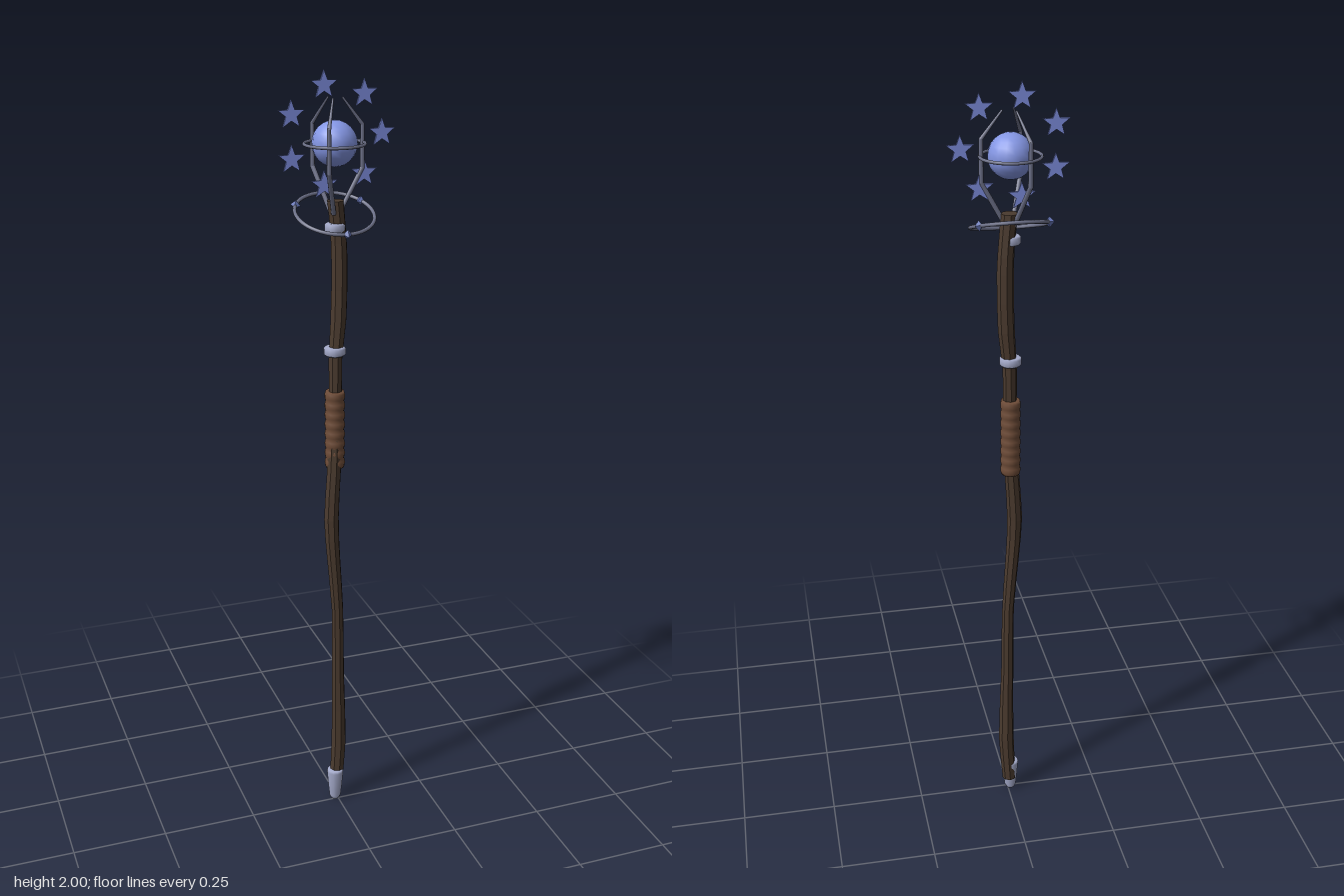
import * as THREE from 'three';

const mat = (color, flat = false) => {
  const m = new THREE.MeshStandardMaterial({ color });
  m.flatShading = flat;
  return m;
};
const WOOD = mat(0x4a3a2e, true), LEATHER = mat(0x6e4c38);
const SILVER = mat(0xa4aaca), IRON = mat(0x6c7088);
const CRYSTAL = mat(0x8496e4), GEM = mat(0x6676b8, true), STAR = mat(0x7c8cdc, true);

// Axis of the straight fittings
const AX = -0.007, AZ = -0.006;

function add(parent, name, geometry, material, x = 0, y = 0, z = 0) {
  const mesh = new THREE.Mesh(geometry, material);
  mesh.name = name;
  mesh.position.set(x, y, z);
  parent.add(mesh);
  return mesh;
}

// Crooked wooden shaft: a cylinder bent along [y, x, z, radius] stations
function shaftGeometry() {
  const stations = [
    [0.04, -0.003, -0.012, 0.019], [0.18, 0.005, -0.010, 0.021], [0.40, 0.001, -0.004, 0.017],
    [0.60, -0.002, 0.000, 0.016], [0.75, -0.014, 0.005, 0.018], [0.87, -0.021, 0.007, 0.020],
    [1.00, -0.013, 0.004, 0.019], [1.15, -0.006, -0.003, 0.017], [1.30, -0.005, -0.006, 0.018],
    [1.40, 0.004, -0.009, 0.021], [1.55, 0.007, -0.011, 0.021], [1.63, 0.003, -0.011, 0.020],
    [1.695, -0.004, -0.009, 0.021],
  ];
  const n = stations.length - 1;
  const path = new THREE.CatmullRomCurve3(stations.map(([y, x, z]) => new THREE.Vector3(x, y, z)));
  const geo = new THREE.CylinderGeometry(1, 1, 1, 8, n * 2);
  const pos = geo.attributes.position;
  for (let i = 0; i < pos.count; i++) {
    const t = THREE.MathUtils.clamp(pos.getY(i) + 0.5, 0, 1);
    const k = Math.min(n - 1, Math.floor(t * n));
    const r = THREE.MathUtils.lerp(stations[k][3], stations[k + 1][3], t * n - k);
    const c = path.getPoint(t);
    pos.setXYZ(i, c.x + pos.getX(i) * r, c.y, c.z + pos.getZ(i) * r);
  }
  geo.computeVertexNormals();
  return geo;
}

// Tapered rod between two points
function rod(parent, name, a, b, ra, rb) {
  const dir = b.clone().sub(a);
  const mesh = add(parent, name, new THREE.CylinderGeometry(rb, ra, dir.length(), 8), IRON);
  mesh.position.copy(a).add(b).multiplyScalar(0.5);
  mesh.quaternion.setFromUnitVectors(new THREE.Vector3(0, 1, 0), dir.normalize());
}

function starGeometry(radius, depth) {
  const shape = new THREE.Shape();
  for (let i = 0; i < 10; i++) {
    const r = i % 2 ? radius * 0.42 : radius;
    const a = Math.PI / 2 + (i * Math.PI) / 5;
    shape[i ? 'lineTo' : 'moveTo'](r * Math.cos(a), r * Math.sin(a));
  }
  shape.closePath();
  return new THREE.ExtrudeGeometry(shape, { depth, bevelEnabled: false }).translate(0, 0, -depth / 2);
}

function band(parent, name, y, radius, height) {
  const b = 0.004, h = height / 2;
  const profile = [[0, -h], [radius - b, -h], [radius, -h + b], [radius, h - b], [radius - b, h], [0, h]];
  const geo = new THREE.LatheGeometry(profile.map(p => new THREE.Vector2(...p)), 16);
  add(parent, name, geo, SILVER, AX, y, AZ);
}

export function createModel() {
  const staff = new THREE.Group();
  staff.name = 'staff';

  add(staff, 'shaft', shaftGeometry(), WOOD);

  // Metal foot
  const foot = [[0, 0], [0.012, 0.002], [0.016, 0.012], [0.020, 0.05], [0.023, 0.088], [0.021, 0.095], [0, 0.095]];
  add(staff, 'ferrule', new THREE.LatheGeometry(foot.map(p => new THREE.Vector2(...p)), 12), SILVER, AX, 0, AZ);

  // Leather grip with wrapped ridges
  const wraps = 8, low = 1.01, high = 1.215;
  const grip = [new THREE.Vector2(0, low)];
  for (let i = 0; i <= wraps * 4; i++) {
    const bulge = Math.abs(Math.sin((i * Math.PI) / 4));
    grip.push(new THREE.Vector2(0.0235 + 0.0025 * bulge, low + ((high - low) * i) / (wraps * 4)));
  }
  grip.push(new THREE.Vector2(0, high));
  add(staff, 'grip', new THREE.LatheGeometry(grip, 16), LEATHER, AX, 0, AZ);

  band(staff, 'lowerCollar', 1.32, 0.028, 0.022);
  band(staff, 'upperCollar', 1.63, 0.025, 0.022);

  // Orb and its level ring
  add(staff, 'orb', new THREE.SphereGeometry(0.055, 16, 12), CRYSTAL, AX, 1.83, AZ);
  const halo = add(staff, 'orbRing', new THREE.TorusGeometry(0.073, 0.004, 8, 40), IRON, AX, 1.83, AZ);
  halo.rotation.x = Math.PI / 2;

  // Three bent claws holding the orb
  const claw = [[0.012, 1.665, 0.006], [0.07, 1.77, 0.006], [0.07, 1.872, 0.005], [0.021, 1.935, 0.0025]];
  for (let k = 0; k < 3; k++) {
    const prong = new THREE.Group();
    prong.name = 'claw';
    prong.position.set(AX, 0, AZ);
    prong.rotation.y = (k * Math.PI * 2) / 3;
    for (let i = 0; i < 3; i++) {
      const [ra, ya, wa] = claw[i], [rb, yb, wb] = claw[i + 1];
      rod(prong, 'clawSegment', new THREE.Vector3(ra, ya, 0), new THREE.Vector3(rb, yb, 0), wa, wb);
      add(prong, 'clawJoint', new THREE.SphereGeometry(wb, 8, 6), IRON, rb, yb, 0);
    }
    staff.add(prong);
  }

  // Tilted ring with three gems
  const orbit = new THREE.Group();
  orbit.name = 'tiltedRing';
  orbit.position.set(AX, 1.665, AZ);
  orbit.rotation.x = 0.35;
  add(orbit, 'ring', new THREE.TorusGeometry(0.097, 0.0048, 8, 48).rotateX(Math.PI / 2), IRON);
  for (let k = 0; k < 3; k++) {
    const a = (k * Math.PI * 2) / 3;
    const gem = add(orbit, 'gem', new THREE.OctahedronGeometry(0.013), GEM, 0.097 * Math.sin(a), 0, 0.097 * Math.cos(a));
    gem.rotation.y = a;
  }
  staff.add(orbit);

  // Circle of seven upright stars
  const star = starGeometry(0.034, 0.006);
  for (let k = 0; k < 7; k++) {
    const a = (k * Math.PI * 2) / 7;
    add(staff, 'star', star, STAR, AX + 0.119 * Math.cos(a), 1.85 + 0.119 * Math.sin(a), AZ);
  }
  return staff;
}
